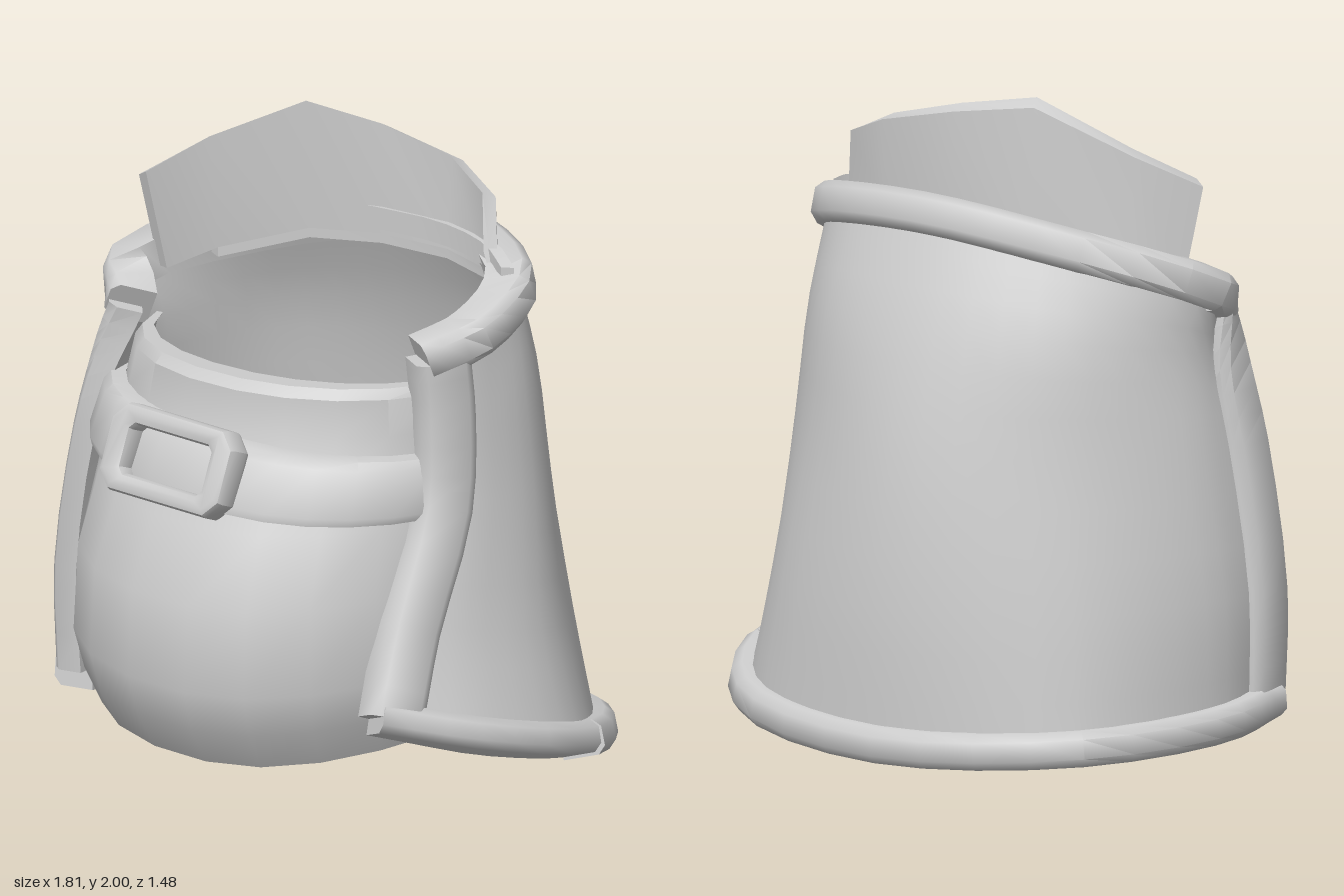
import * as THREE from 'three';
import { toCreasedNormals } from 'three/addons/utils/BufferGeometryUtils.js';

const V = (x, y, z) => new THREE.Vector3(x, y, z);
const material = new THREE.MeshStandardMaterial({ color: 0xcccccc, side: THREE.DoubleSide });

// Joins closed cross-sections into a capped solid
function loft(name, rings, crease = 0.7) {
  const n = rings[0].length, pos = [], idx = [];
  rings.forEach(r => r.forEach(p => pos.push(p.x, p.y, p.z)));
  for (let i = 0; i < rings.length - 1; i++)
    for (let j = 0; j < n; j++) {
      const a = i * n + j, b = i * n + (j + 1) % n;
      idx.push(a, a + n, b, b, a + n, b + n);
    }
  // Section outlines fold back on themselves, so caps pair up opposite points
  const last = (rings.length - 1) * n;
  for (let j = 0; j < n / 2 - 1; j++) {
    const a = j, b = j + 1, c = n - 2 - j, d = n - 1 - j;
    idx.push(a, b, c, a, c, d);
    idx.push(last + a, last + c, last + b, last + a, last + d, last + c);
  }
  const g = new THREE.BufferGeometry();
  g.setAttribute('position', new THREE.Float32BufferAttribute(pos, 3));
  g.setIndex(idx);
  const mesh = new THREE.Mesh(toCreasedNormals(g, crease), material);
  mesh.name = name;
  return mesh;
}

const range = (n, a, b) => Array.from({ length: n + 1 }, (_, i) => a + (b - a) * i / n);

// Outer plate: rows from bottom to top, each from the left edge round the back to the right edge
const rows = [
  [[.54, .36, .57], [.76, .27, .3], [.84, .17, -.1], [.59, .1, -.5], [0, .065, -.68], [-.57, .09, -.52], [-.83, .13, -.1], [-.84, .17, .16]],
  [[.52, .62, .44], [.67, .57, .22], [.75, .5, -.1], [.53, .48, -.48], [0, .48, -.67], [-.54, .48, -.48], [-.82, .5, -.1], [-.85, .5, .16]],
  [[.52, .95, .27], [.64, .95, .11], [.69, .95, -.12], [.46, .95, -.43], [0, .95, -.61], [-.47, .95, -.43], [-.74, .95, -.1], [-.78, .95, .16]],
  [[.51, 1.22, .24], [.62, 1.25, .1], [.66, 1.3, -.1], [.43, 1.33, -.38], [0, 1.33, -.51], [-.44, 1.3, -.38], [-.7, 1.25, -.06], [-.72, 1.18, .15]],
  [[.5, 1.4, .25], [.61, 1.47, .1], [.61, 1.56, -.1], [.39, 1.62, -.28], [0, 1.64, -.375], [-.4, 1.57, -.28], [-.74, 1.44, 0], [-.66, 1.36, .15]],
].map(r => new THREE.CatmullRomCurve3(r.map(p => V(...p))));

const plate = (u, v) => new THREE.CatmullRomCurve3(rows.map(c => c.getPoint(u))).getPoint(v);
function plateNormal(u, v) {
  const e = .01, c = x => Math.min(1, Math.max(0, x));
  const du = plate(c(u + e), v).sub(plate(c(u - e), v));
  const dv = plate(u, c(v + e)).sub(plate(u, c(v - e)));
  return du.cross(dv).normalize();
}

// Raised border along a line of the plate; a..b is its spread across, lo..hi its depth
function border(name, uvs, a, b, lo, hi) {
  const pts = uvs.map(([u, v]) => plate(u, v));
  const c = .025;
  return loft(name, uvs.map(([u, v], i) => {
    const n = plateNormal(u, v);
    const t = pts[Math.min(i + 1, pts.length - 1)].clone().sub(pts[Math.max(i - 1, 0)]);
    const s = n.clone().cross(t).normalize();
    const at = (x, y) => pts[i].clone().addScaledVector(s, x).addScaledVector(n, y);
    return [at(a, lo), at(a, hi - c), at(a + c, hi), at(b - c, hi), at(b, hi - c), at(b, lo)];
  }), .85);
}

// Front cuff: [height, front depth, left half width, right half width]
const cuffTable = [[.13, .62, .6, .7], [.25, .7, .63, .74], [.38, .74, .65, .77], [.65, .72, .63, .76],
  [.87, .62, .6, .72], [1.0, .54, .58, .69], [1.15, .47, .56, .65], [1.27, .46, .55, .62], [1.3, .43, .53, .6]];
function cuff(angle, y, out = 0) {
  let i = 0;
  while (i < cuffTable.length - 2 && y > cuffTable[i + 1][0]) i++;
  const lower = cuffTable[i], upper = cuffTable[i + 1];
  const k = (y - lower[0]) / (upper[0] - lower[0]);
  const mix = j => lower[j] + (upper[j] - lower[j]) * k;
  const cos = Math.cos(angle), width = mix(cos > 0 ? 2 : 3);
  const lift = (cos > 0 ? .1 : .04) * cos * cos * (1.3 - y) / 1.17;
  return V(-.03 + cos * (width + out), y + lift, Math.sin(angle) * (mix(1) + out));
}

function roundRect(shape, w, h, r) {
  const x = w / 2, y = h / 2;
  shape.moveTo(-x + r, -y);
  shape.lineTo(x - r, -y); shape.lineTo(x, -y + r);
  shape.lineTo(x, y - r); shape.lineTo(x - r, y);
  shape.lineTo(-x + r, y); shape.lineTo(-x, y - r);
  shape.lineTo(-x, -y + r); shape.closePath();
  return shape;
}

export function createModel() {
  const group = new THREE.Group();

  // Thick outer plate
  const vs = range(12, 0, 1);
  group.add(loft('outerPlate', range(32, 0, 1).map(u => [
    ...vs.map(v => plate(u, v)),
    ...[...vs].reverse().map(v => plate(u, v).addScaledVector(plateNormal(u, v), -.04)),
  ])));

  // Borders of the plate; the bottom one is split by a narrow notch
  group.add(border('leftBorder', range(12, 0, 1).map(v => [0, v]), -.14, .035, -.08, .05));
  group.add(border('rightBorder', range(12, 0, 1).map(v => [1, v]), -.04, .12, -.06, .045));
  group.add(border('topBorder', range(22, 0, 1).map(u => [u, 1]), -.06, .065, -.09, .05));
  group.add(border('bottomBorderFront', range(7, 0, .29).map(u => [u, 0]), -.05, .05, -.08, .055));
  group.add(border('bottomBorderBack', range(18, .293, 1).map(u => [u, 0]), -.06, .05, -.08, .06));

  // Bulging front cuff, thinning towards its ends
  const ys = cuffTable.map(r => r[0]);
  group.add(loft('frontCuff', range(10, .08, Math.PI - .02).map(a => [
    ...ys.map(y => cuff(a, y)),
    ...[...ys].reverse().map(y => cuff(a, y, -.02 - .05 * Math.sin(a))),
  ]), .6));

  // Strap across the cuff
  group.add(loft('strap', range(12, .45, Math.PI - .18).map(a => {
    const drop = .05 * Math.cos(a) * (a < 1.57 ? 1 : .5);
    return [[.93, 0], [.935, .045], [.96, .06], [1.1, .06], [1.125, .045], [1.13, 0]]
      .map(([y, o]) => cuff(a, y - drop, o));
  })));

  // Buckle frame
  const frame = roundRect(new THREE.Shape(), .47, .23, .04);
  frame.holes.push(roundRect(new THREE.Path(), .385, .195, .03));
  const buckleGeometry = new THREE.ExtrudeGeometry(frame, {
    depth: .05, bevelEnabled: true, bevelSize: .022, bevelThickness: .022, bevelSegments: 2 });
  const buckle = new THREE.Mesh(toCreasedNormals(buckleGeometry, .6), material);
  buckle.name = 'buckle';
  buckle.position.set(-.2, 1.035, .54);
  buckle.rotation.set(-.36, -.2, 0, 'YXZ');
  group.add(buckle);

  // Standing collar at the back: [top x, y, z, bottom x, y, z]
  const collar = [
    [-.63, 1.76, .07, -.6, 1.44, .0], [-.49, 1.86, -.07, -.48, 1.5, -.1],
    [-.2, 2.0, -.16, -.2, 1.59, -.18], [.05, 1.96, -.2, .05, 1.61, -.2],
    [.3, 1.9, -.2, .3, 1.61, -.18], [.46, 1.83, -.13, .47, 1.59, -.13],
    [.49, 1.66, -.09, .53, 1.56, -.08],
  ].map(c => [V(...c.slice(0, 3)), V(...c.slice(3))]);
  const outward = p => V(p.x * .6, 0, p.z - .12).normalize();
  group.add(loft('collar', collar.map(([t, b]) => {
    const o = outward(b).multiplyScalar(.04);
    const shoulder = t.clone().lerp(b, .06).add(o);
    return [b, t, shoulder, b.clone().add(o)];
  })));

  // Ledge between the collar and the top border
  const ledgeU = [.78, .63, .55, .46, .36, .26];
  group.add(loft('collarLedge', ledgeU.map((u, i) => {
    const a = collar[i + 1][1], b = plate(u, 1);
    const down = V(0, -.03, 0);
    return [a, b, b.clone().add(down), a.clone().add(down)];
  })));

  // Short overlapping strip at the foot of the collar
  const strip = new THREE.CatmullRomCurve3([V(0, 1.66, -.19), V(.28, 1.66, -.17), V(.48, 1.64, -.11), V(.58, 1.6, -.05)]);
  group.add(loft('collarStrip', range(8, 0, 1).map(t => {
    const p = strip.getPoint(t), o = outward(p).multiplyScalar(.04);
    const h = V(0, .035, 0);
    return [p.clone().sub(h), p.clone().add(h), p.clone().add(h).add(o), p.clone().sub(h).add(o)];
  })));

  return group;
}
